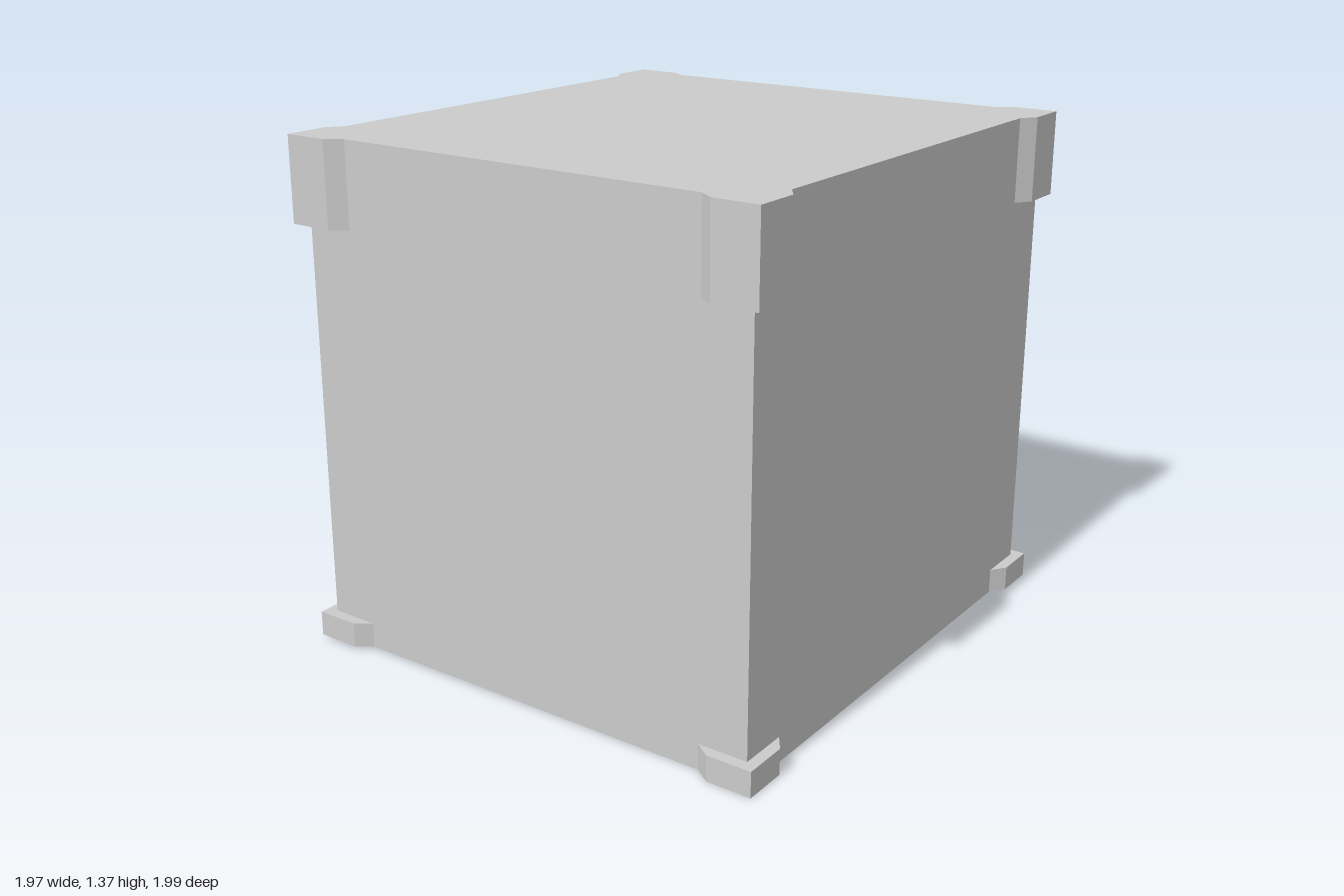
import * as THREE from 'three';

const HX = 0.66, HZ = 0.70, H = 1.36;    // body half width, half depth, height
const OUT = 0.03, FLAT = 0.122, ARM = 0.165; // corner guard projection, flat length, full length

const grey = new THREE.MeshStandardMaterial({ color: 0xcccccc, side: THREE.DoubleSide, flatShading: true });

function add(parent, geometry, name) {
  const mesh = new THREE.Mesh(geometry, grey);
  mesh.name = name;
  parent.add(mesh);
  return mesh;
}

const toShape = (points) => new THREE.Shape(points.map(([x, y]) => new THREE.Vector2(x, y)));

// L-shaped guard with chamfered ends, wrapped around one vertical body edge
function cornerGuard(sx, sz, y0, y1) {
  const X = HX + OUT, Z = HZ + OUT;
  const outline = [
    [X - ARM, HZ], [X - FLAT, Z], [X, Z], [X, Z - FLAT], [HX, Z - ARM], [HX, HZ],
  ].map(([x, z]) => [x * sx, -z * sz]);
  const g = new THREE.ExtrudeGeometry(toShape(outline), { depth: y1 - y0, bevelEnabled: false });
  return g.rotateX(-Math.PI / 2).translate(0, y0, 0);
}

export function createModel() {
  const model = new THREE.Group();
  model.name = 'boxBuilding';
  const body = new THREE.Group();
  body.name = 'body';
  model.add(body);

  // Thin walls, open underneath
  for (const s of [1, -1]) {
    const wall = add(body, new THREE.PlaneGeometry(HX * 2, H), s > 0 ? 'frontWall' : 'backWall');
    wall.position.set(0, H / 2, s * HZ);
    if (s < 0) wall.rotation.y = Math.PI;
    const side = add(body, new THREE.PlaneGeometry(HZ * 2, H), s > 0 ? 'leftWall' : 'rightWall');
    side.position.set(s * HX, H / 2, 0);
    side.rotation.y = s * Math.PI / 2;
  }

  // Flat roof
  const roof = add(body, new THREE.PlaneGeometry(HX * 2, HZ * 2), 'roof');
  roof.rotation.x = -Math.PI / 2;
  roof.position.y = H;

  // Tall guards at the roof corners, low feet at the ground corners
  for (const sx of [1, -1]) {
    for (const sz of [1, -1]) {
      add(body, cornerGuard(sx, sz, 1.135, H), 'roofCorner');
      add(body, cornerGuard(sx, sz, 0, 0.068), 'foot');
    }
  }

  // Raised door frame: wide shoulders, narrow base, slightly peaked top
  const outer = [[0.295, 0.005], [0.445, 0.98], [0.30, 1.32], [0, 1.33]];
  const inner = [[0, 1.305], [0.27, 1.285], [0.39, 0.99], [0.255, 0.005]];
  const mirror = (pts) => pts.filter(([x]) => x > 0).map(([x, y]) => [-x, y]).reverse();
  const ring = [...outer, ...mirror(outer), ...mirror(inner), ...inner];
  const frame = add(body, new THREE.ExtrudeGeometry(toShape(ring), { depth: 0.035, bevelEnabled: false }), 'doorFrame');
  frame.position.z = -HZ - 0.035;

  // Turned on its base, with a very slight lean
  body.rotation.y = -0.6;
  model.rotation.set(0.004, 0, -0.004);
  model.position.set(-0.003, 0.006, -0.003);

  const root = new THREE.Group();
  root.name = 'model';
  root.add(model);
  return root;
}
